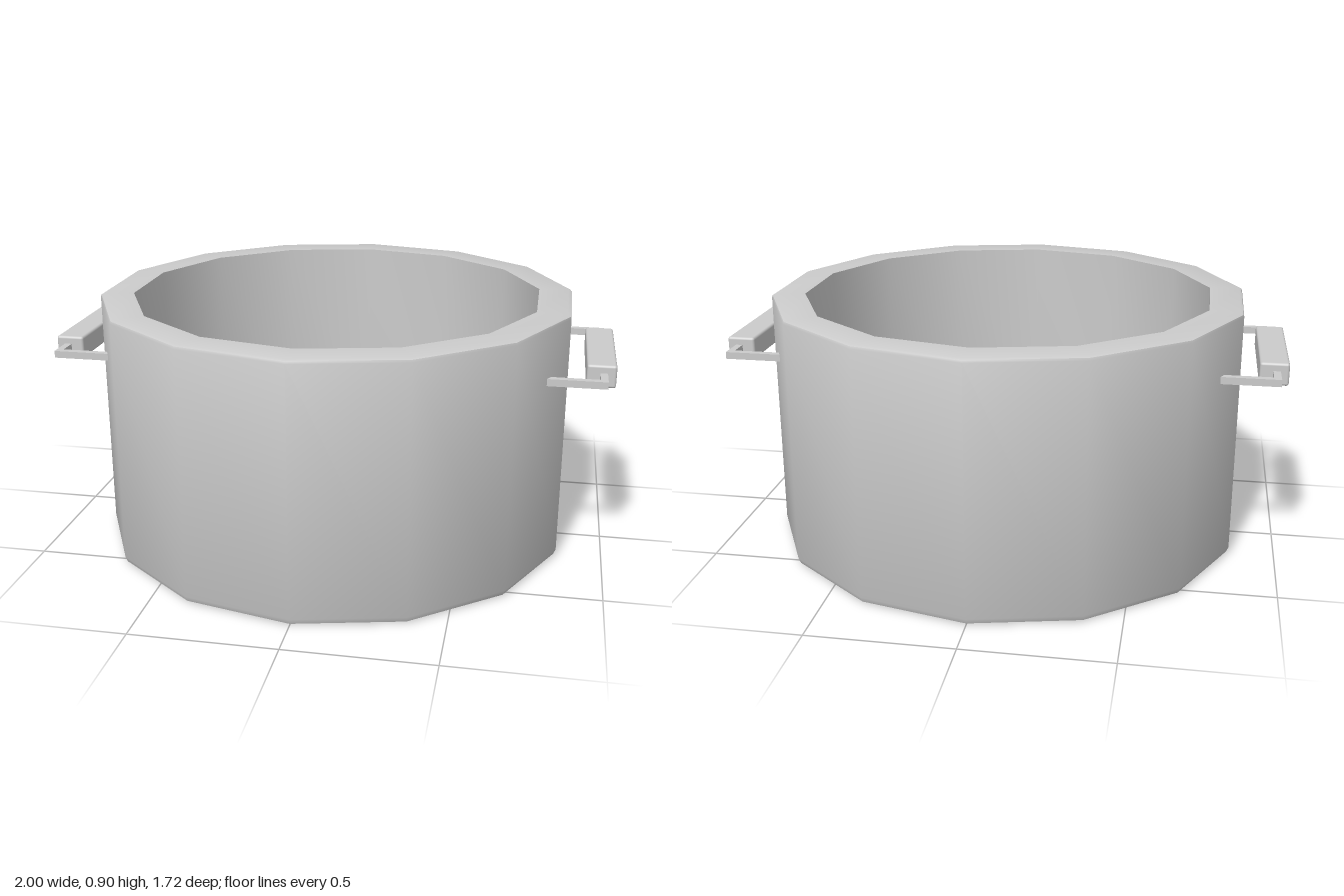
import * as THREE from 'three';
import { toCreasedNormals } from 'three/addons/utils/BufferGeometryUtils.js';
import { RoundedBoxGeometry } from 'three/addons/geometries/RoundedBoxGeometry.js';

const material = new THREE.MeshStandardMaterial({ color: 0xcccccc });

function addMesh(parent, name, geometry, x = 0, y = 0, z = 0) {
  const mesh = new THREE.Mesh(geometry, material);
  mesh.name = name;
  mesh.position.set(x, y, z);
  parent.add(mesh);
  return mesh;
}

// Thick-walled pot: 14-sided shell, profile runs from under the base to the inner floor
function createPot(parent) {
  const profile = [
    [0, 0], [0.835, 0], [0.852, 0.006], [0.86, 0.025],
    [0.86, 0.888], [0.857, 0.896], [0.848, 0.9],
    [0.74, 0.9], [0.74, 0.12], [0, 0.12],
  ].map(([r, y]) => new THREE.Vector2(r, y));
  addMesh(parent, 'potBody', toCreasedNormals(new THREE.LatheGeometry(profile, 14), 0.65));
}

// Side handle: square rod bent into a U, with a chunky grip around its middle
function createHandle(side) {
  const handle = new THREE.Group();
  handle.name = side > 0 ? 'leftHandle' : 'rightHandle';
  const rod = 0.025, y = 0.705, outer = 0.97, inner = 0.75, reach = 0.335;
  addMesh(handle, 'handleRod', new THREE.BoxGeometry(rod, rod, 2 * reach), side * (outer - rod / 2), y, 0);
  for (const end of [-1, 1]) {
    const length = outer - rod - inner;
    addMesh(handle, 'handleArm', new THREE.BoxGeometry(length, rod, rod),
      side * (inner + length / 2), y, end * (reach - rod / 2));
  }
  addMesh(handle, 'handleGrip', new RoundedBoxGeometry(0.1, 0.08, 0.48, 2, 0.009), side * 0.95, y, 0);
  return handle;
}

export function createModel() {
  const model = new THREE.Group();
  model.name = 'cookingPot';
  createPot(model);
  for (const side of [-1, 1]) model.add(createHandle(side));
  return model;
}
